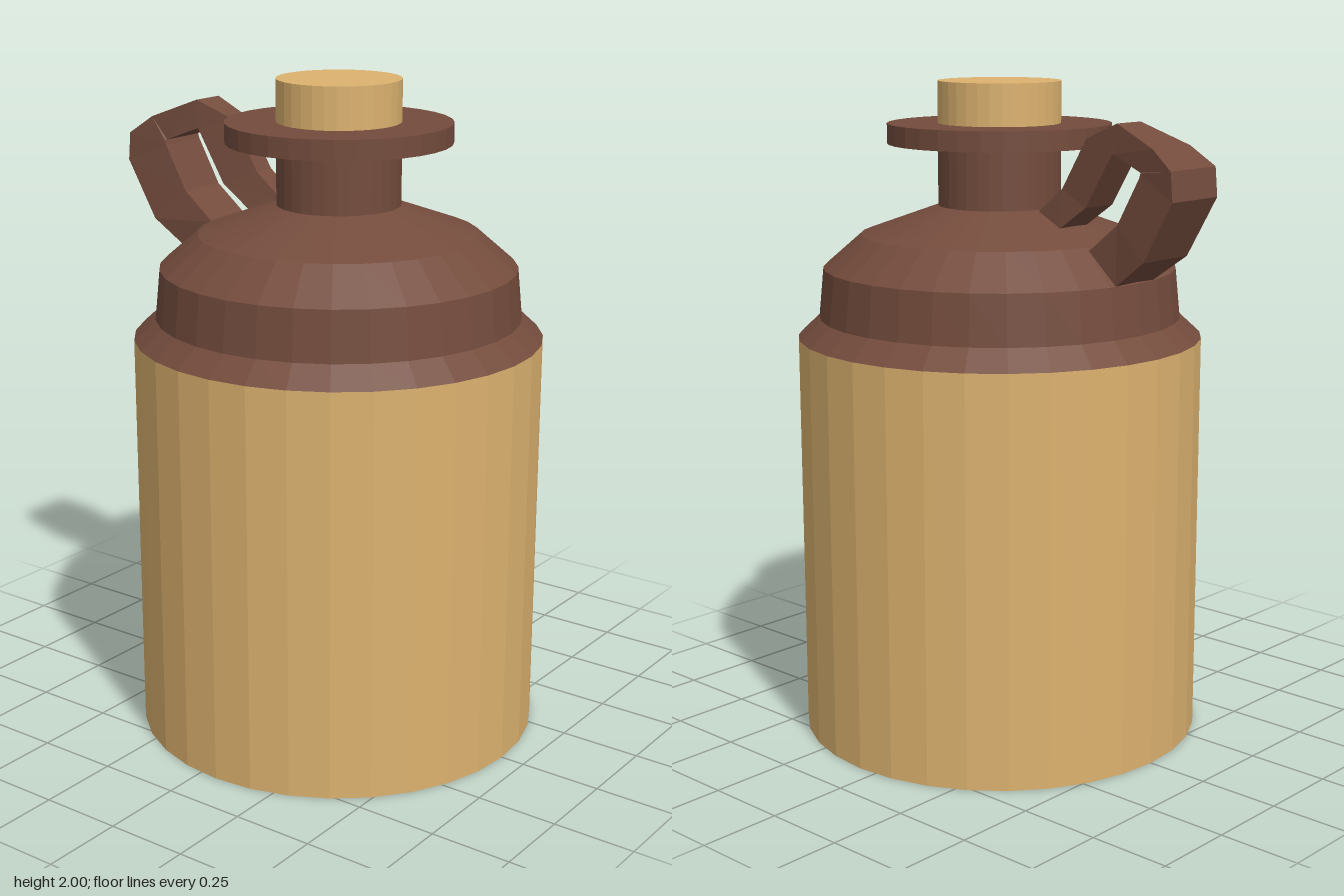
import * as THREE from 'three';

const SIDES = 32;
const AXIS_Z = 0.06;

const brown = new THREE.MeshStandardMaterial({ color: 0x744c3d, flatShading: true });
const tan = new THREE.MeshStandardMaterial({ color: 0xdcb26f, flatShading: true });

function turned(name, profile, material) {
  const points = profile.map(([r, y]) => new THREE.Vector2(r, y));
  const mesh = new THREE.Mesh(new THREE.LatheGeometry(points, SIDES), material);
  mesh.name = name;
  mesh.position.z = AXIS_Z;
  return mesh;
}

// Loft of four-cornered sections: [outer z, y, half width, inner z, y, half width]
function loft(sections) {
  const positions = [];
  const index = [];
  for (const [oz, oy, ow, iz, iy, iw] of sections) {
    positions.push(ow, oy, oz, -ow, oy, oz, -iw, iy, iz, iw, iy, iz);
  }
  for (let i = 0; i < sections.length - 1; i++) {
    for (let k = 0; k < 4; k++) {
      const a = i * 4 + k;
      const d = i * 4 + ((k + 1) % 4);
      index.push(a, a + 4, d + 4, a, d + 4, d);
    }
  }
  const last = (sections.length - 1) * 4;
  index.push(0, 1, 2, 0, 2, 3, last, last + 2, last + 1, last, last + 3, last + 2);
  const geometry = new THREE.BufferGeometry();
  geometry.setAttribute('position', new THREE.Float32BufferAttribute(positions, 3));
  geometry.setIndex(index);
  geometry.computeVertexNormals();
  return geometry;
}

export function createModel() {
  const jug = new THREE.Group();
  jug.name = 'jug';

  jug.add(
    turned('base', [[0, 0], [0.615, 0]], brown),
    turned('body', [[0.615, 0], [0.615, 1.235]], tan),
    turned('shoulder', [[0.615, 1.235], [0.55, 1.295], [0.535, 1.445], [0.42, 1.545], [0.185, 1.63]], brown),
    turned('neck', [[0.185, 1.63], [0.185, 1.815]], brown),
    turned('rim', [[0.185, 1.815], [0.337, 1.815], [0.337, 1.875], [0.185, 1.875]], brown),
    turned('stopper', [[0.185, 1.875], [0.185, 2], [0, 2]], tan)
  );

  // Handle rises from beside the neck, arches back and widens down to the shoulder
  const handle = new THREE.Mesh(loft([
    [-0.12, 1.62, 0.035, -0.23, 1.585, 0.06],
    [-0.22, 1.7, 0.035, -0.33, 1.655, 0.06],
    [-0.31, 1.85, 0.035, -0.427, 1.815, 0.06],
    [-0.437, 1.9, 0.053, -0.43, 1.814, 0.06],
    [-0.59, 1.84, 0.085, -0.54, 1.772, 0.075],
    [-0.667, 1.785, 0.102, -0.545, 1.77, 0.08],
    [-0.675, 1.7, 0.102, -0.54, 1.755, 0.08],
    [-0.575, 1.525, 0.1, -0.465, 1.62, 0.08],
    [-0.465, 1.445, 0.085, -0.36, 1.535, 0.08]
  ]), brown);
  handle.name = 'handle';
  jug.add(handle);

  return jug;
}
